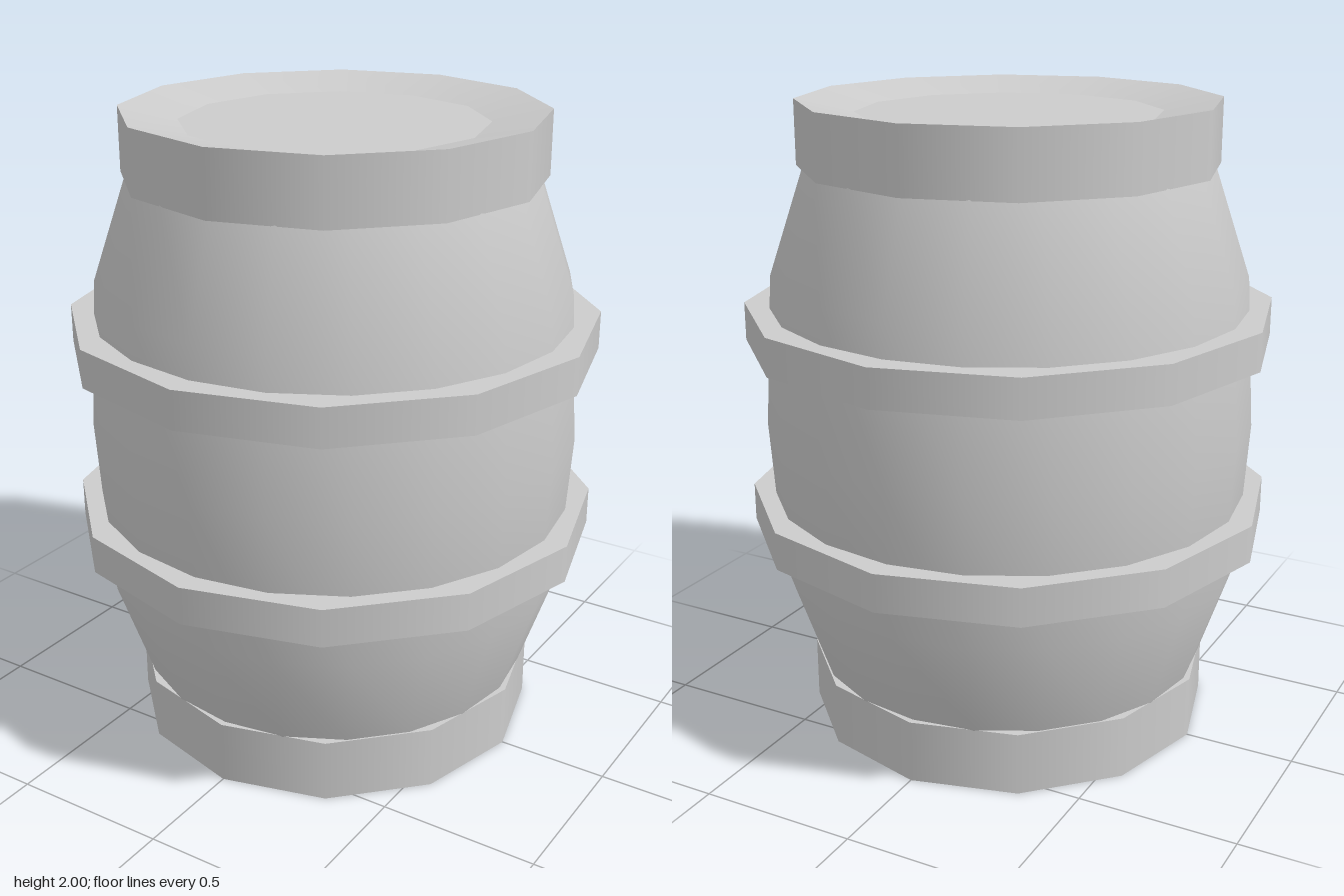
import * as THREE from 'three';
import { mergeGeometries } from 'three/addons/utils/BufferGeometryUtils.js';

const material = new THREE.MeshStandardMaterial({ color: 0xcccccc });

// Turned surface, smooth within the profile; points are [radius, y], running up the outside and over the top
const turn = (points, sides) =>
  new THREE.LatheGeometry(points.map(([r, y]) => new THREE.Vector2(r, y)), sides);

// Turned surface with a sharp edge at every profile point
const turnSharp = (points, sides) =>
  mergeGeometries(points.slice(1).map((p, i) => turn([points[i], p], sides)));

function part(name, geometry) {
  const mesh = new THREE.Mesh(geometry, material);
  mesh.name = name;
  return mesh;
}

export function createModel() {
  const barrel = new THREE.Group();
  barrel.name = 'barrel';

  // Bulging body
  barrel.add(part('body', turn([
    [0.585, 0.08], [0.63, 0.2], [0.74, 0.525], [0.77, 1],
    [0.74, 1.475], [0.63, 1.8], [0.585, 1.92],
  ], 20)));

  // Two hoops around the belly
  const hoop = turnSharp([[0.7, -0.06], [0.83, -0.06], [0.83, 0.06], [0.7, 0.06]], 12);
  for (const [name, y] of [['lowerHoop', 0.705], ['upperHoop', 1.312]]) {
    const mesh = part(name, hoop);
    mesh.position.y = y;
    barrel.add(mesh);
  }

  // End caps: straight band with a shallow dished lid, mirrored top and bottom
  const cap = turnSharp([[0.56, 0.8], [0.65, 0.8], [0.65, 1], [0.47, 0.96], [0, 0.96]], 12);
  for (const [name, turnX] of [['topCap', 0], ['bottomCap', Math.PI]]) {
    const mesh = part(name, cap);
    mesh.position.y = 1;
    mesh.rotation.x = turnX;
    barrel.add(mesh);
  }

  return barrel;
}
